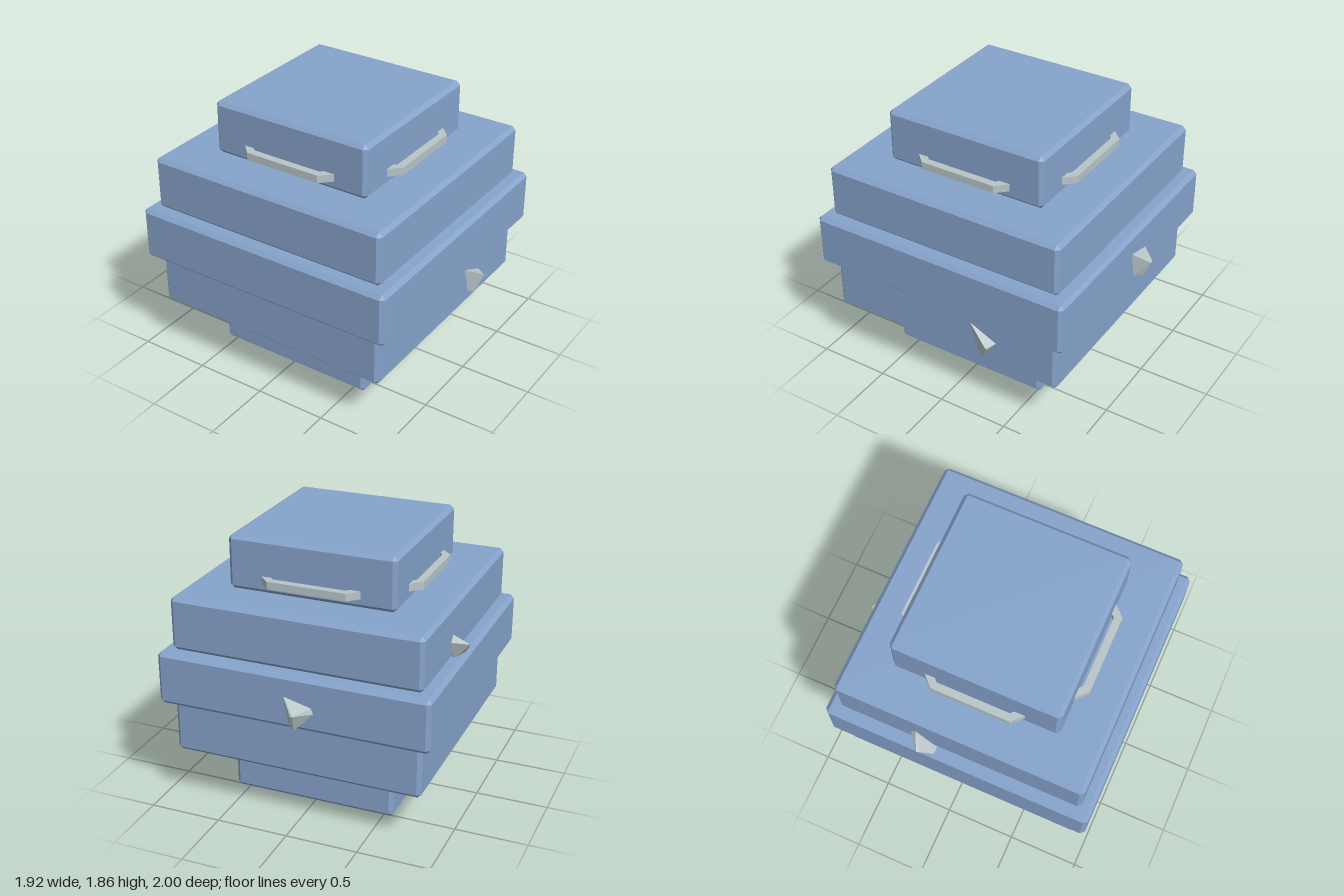
import * as THREE from 'three';
import { ConvexGeometry } from 'three/addons/geometries/ConvexGeometry.js';

const CX = 0.012, CZ = 0.048; // axis of the stacked body

// Box with flat chamfers on every edge
function chamferBox(w, h, d, b) {
  const points = [];
  for (const sx of [-1, 1]) for (const sy of [-1, 1]) for (const sz of [-1, 1]) {
    const x = w / 2, y = h / 2, z = d / 2;
    points.push(
      new THREE.Vector3(sx * x, sy * (y - b), sz * (z - b)),
      new THREE.Vector3(sx * (x - b), sy * y, sz * (z - b)),
      new THREE.Vector3(sx * (x - b), sy * (y - b), sz * z));
  }
  return new ConvexGeometry(points);
}

// Bracket outline: straight bar with 45 degree legs running into the block
function handleGeometry() {
  const outline = [[-0.372, 0.556], [-0.272, 0.656], [0.272, 0.656], [0.372, 0.556],
    [0.3, 0.556], [0.252, 0.604], [-0.252, 0.604], [-0.3, 0.556]];
  const shape = new THREE.Shape(outline.map(([x, y]) => new THREE.Vector2(x, y)));
  const geometry = new THREE.ExtrudeGeometry(shape, { depth: 0.052, bevelEnabled: false });
  return geometry.rotateX(Math.PI / 2);
}

export function createModel() {
  const model = new THREE.Group();
  model.name = 'steppedBlock';
  const blue = new THREE.MeshStandardMaterial({ color: 0x86a3cb });
  blue.name = 'blue';
  const grey = new THREE.MeshStandardMaterial({ color: 0xb9c5c8 });
  grey.name = 'paleGrey';

  const add = (name, geometry, material, x = 0, y = 0, z = 0) => {
    const mesh = new THREE.Mesh(geometry, material);
    mesh.name = name;
    mesh.position.set(x, y, z);
    model.add(mesh);
    return mesh;
  };

  // Five stacked slabs, widest in the middle
  const step = 0.372;
  [1.165, 1.744, 1.896, 1.744, 1.165].forEach((width, i) => {
    add(`slab${i + 1}`, chamferBox(width, step, width, 0.027), blue, CX, step * (i + 0.5), CZ);
  });

  // One handle on each side of the top slab
  const handle = handleGeometry();
  ['front', 'left', 'back', 'right'].forEach((side, i) => {
    add(`${side}Handle`, handle, grey, CX, 1.606, CZ).rotation.y = i * Math.PI / 2;
  });

  // Tilted stone corners poking out of the slabs
  const stones = {
    leftStone: [[0.955, 0.562, -0.333], [0.948, 0.55, -0.342], [0.88, 0.665, -0.163],
      [0.88, 0.567, -0.374], [0.907, 0.434, -0.283], [0.88, 0.458, -0.225],
      [0.8, 0.6, -0.17], [0.8, 0.53, -0.33]],
    rightStone: [[-0.965, 1.21, -0.2], [-0.96, 1.2, -0.185], [-0.86, 1.285, -0.25],
      [-0.86, 1.24, -0.286], [-0.895, 1.09, -0.08], [-0.86, 1.1, -0.09],
      [-0.86, 1.1, -0.22], [-0.78, 1.2, -0.2]],
    backStone: [[-0.062, 0.89, -1], [-0.045, 0.885, -0.998], [0.045, 0.968, -0.9],
      [-0.16, 0.88, -0.9], [-0.145, 0.92, -0.9], [-0.045, 0.766, -0.952],
      [0.01, 0.772, -0.9], [-0.04, 0.87, -0.82]],
  };
  for (const [name, points] of Object.entries(stones)) {
    add(name, new ConvexGeometry(points.map((p) => new THREE.Vector3(...p))), grey);
  }
  return model;
}
